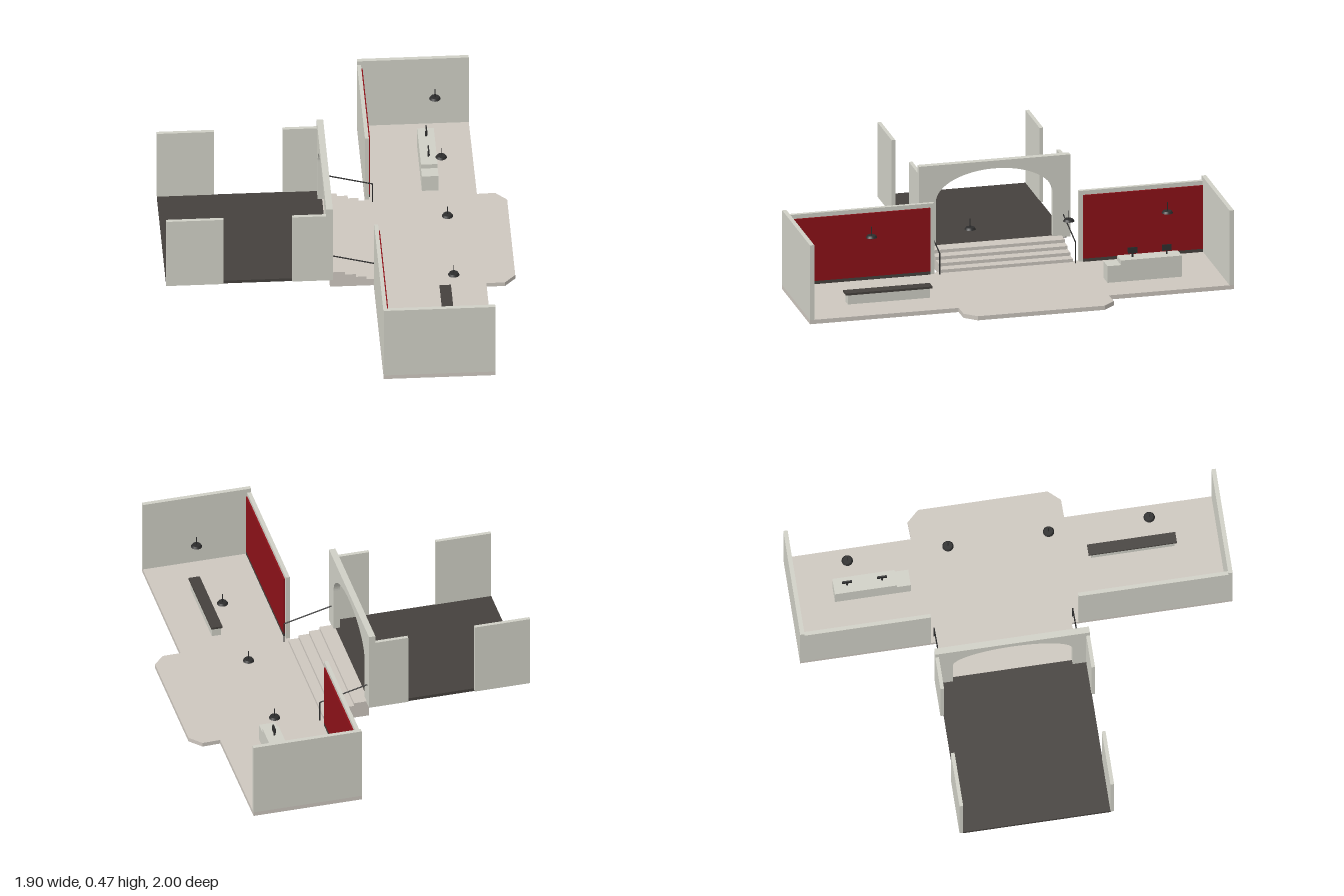
import * as THREE from 'three';

const mat = (color) => new THREE.MeshStandardMaterial({ color });

export function createModel() {
  const model = new THREE.Group();
  // The plan is laid out square to the hall, then turned as a whole.
  const plan = new THREE.Group();
  plan.name = 'building';
  plan.position.set(0.25, 0, -0.005);
  plan.rotation.y = Math.atan2(0.879, 0.477);
  model.add(plan);

  const wallMat = mat(0xd0d0c6), floorMat = mat(0xcdc7bf), darkMat = mat(0x45413d);
  const redMat = mat(0x8c1118), blackMat = mat(0x2c2c2c);

  const add = (name, geometry, material) => {
    const mesh = new THREE.Mesh(geometry, material);
    mesh.name = name;
    plan.add(mesh);
    return mesh;
  };
  // Box given by its limits along each axis
  const box = (name, material, x0, x1, y0, y1, z0, z1) => {
    const mesh = add(name, new THREE.BoxGeometry(x1 - x0, y1 - y0, z1 - z0), material);
    mesh.position.set((x0 + x1) / 2, (y0 + y1) / 2, (z0 + z1) / 2);
    return mesh;
  };
  // Thin rod between two points
  const rod = (name, a, b, r) => {
    const p = new THREE.Vector3(...a), q = new THREE.Vector3(...b);
    const d = q.clone().sub(p);
    const mesh = add(name, new THREE.CylinderGeometry(r, r, d.length(), 8), blackMat);
    mesh.position.copy(p).add(q).multiplyScalar(0.5);
    mesh.quaternion.setFromUnitVectors(new THREE.Vector3(0, 1, 0), d.normalize());
  };

  // Hall floor with the chamfered bay at the front and the stair bay at the back
  const outline = [
    [-0.997, -0.255], [-0.254, -0.255], [-0.254, -0.455], [0.367, -0.455], [0.367, -0.255],
    [0.997, -0.255], [0.997, 0.255], [0.408, 0.257], [0.411, 0.34], [0.355, 0.392],
    [-0.242, 0.392], [-0.297, 0.342], [-0.298, 0.257], [-0.997, 0.255],
  ];
  const floorShape = new THREE.Shape(outline.map(([x, z]) => new THREE.Vector2(x, -z)));
  const floorGeo = new THREE.ExtrudeGeometry(floorShape, { depth: 0.02, bevelEnabled: false });
  add('hallFloor', floorGeo.rotateX(-Math.PI / 2), floorMat);

  // End walls
  for (const s of [-1, 1]) {
    const [a, b] = s < 0 ? [-0.997, -0.977] : [0.977, 0.997];
    box('endWall', wallMat, a, b, 0.02, 0.38, -0.255, 0.255);
  }

  // Back walls with red panels and dark skirting
  for (const [a, b, pa, pb] of [[-0.977, -0.286, -0.977, -0.306], [0.394, 0.977, 0.414, 0.977]]) {
    box('backWall', wallMat, a, b, 0.02, 0.36, -0.255, -0.237);
    box('redPanel', redMat, pa, pb, 0.035, 0.34, -0.237, -0.23);
    box('skirting', darkMat, pa, pb, 0.02, 0.035, -0.237, -0.23);
  }

  // Steps up to the raised room
  [-0.24, -0.287, -0.336, -0.386].forEach((z, i) => {
    box('step', floorMat, -0.254, 0.367, 0.02 + i * 0.015, 0.035 + i * 0.015, -0.455, z);
  });

  // Handrails
  for (const x of [-0.264, 0.375]) {
    rod('railPost', [x, 0.02, -0.222], [x, 0.12, -0.222], 0.003);
    rod('handrail', [x, 0.12, -0.222], [x, 0.18, -0.45], 0.003);
  }

  // Raised room floor and its side walls
  box('raisedFloor', darkMat, -0.29, 0.393, 0.065, 0.08, -1.205, -0.455);
  for (const [a, b] of [[-0.305, -0.288], [0.391, 0.408]]) {
    box('sideWall', wallMat, a, b, 0.072, 0.43, -1.205, -0.944);
    box('sideWall', wallMat, a, b, 0.072, 0.43, -0.63, -0.47);
  }

  // Arched wall
  const arch = new THREE.Shape();
  arch.moveTo(-0.305, 0.072);
  arch.lineTo(-0.225, 0.072);
  arch.lineTo(-0.225, 0.29);
  arch.absellipse(0.051, 0.29, 0.276, 0.14, Math.PI, 0, true);
  arch.lineTo(0.327, 0.072);
  arch.lineTo(0.408, 0.072);
  arch.lineTo(0.408, 0.467);
  arch.lineTo(-0.305, 0.467);
  arch.closePath();
  add('archWall', new THREE.ExtrudeGeometry(arch, { depth: 0.03, bevelEnabled: false, curveSegments: 24 }), wallMat)
    .position.z = -0.475;

  // Bench
  box('benchBase', wallMat, -0.775, -0.39, 0.02, 0.065, 0.043, 0.085);
  box('benchTop', darkMat, -0.785, -0.378, 0.065, 0.075, 0.038, 0.09);

  // Reception counter with a lower end
  box('counterLowEnd', wallMat, 0.447, 0.51, 0.02, 0.1, 0.008, 0.084);
  box('counter', wallMat, 0.51, 0.797, 0.02, 0.122, 0.008, 0.084);

  // Counter screens
  for (const x of [0.574, 0.735]) {
    rod('screenStand', [x, 0.122, 0.045], [x, 0.15, 0.045], 0.004);
    box('screen', blackMat, x - 0.022, x + 0.022, 0.14, 0.168, 0.044, 0.05).rotation.x = -0.1;
  }

  // Hanging lamps
  for (let i = 0; i < 4; i++) {
    const x = -0.664 + i * 0.464, z = 0.085;
    add('lampShade', new THREE.CylinderGeometry(0.02, 0.026, 0.01, 20), blackMat).position.set(x, 0.339, z);
    rod('lampCord', [x, 0.325, z], [x, 0.385, z], 0.002);
  }

  return model;
}
